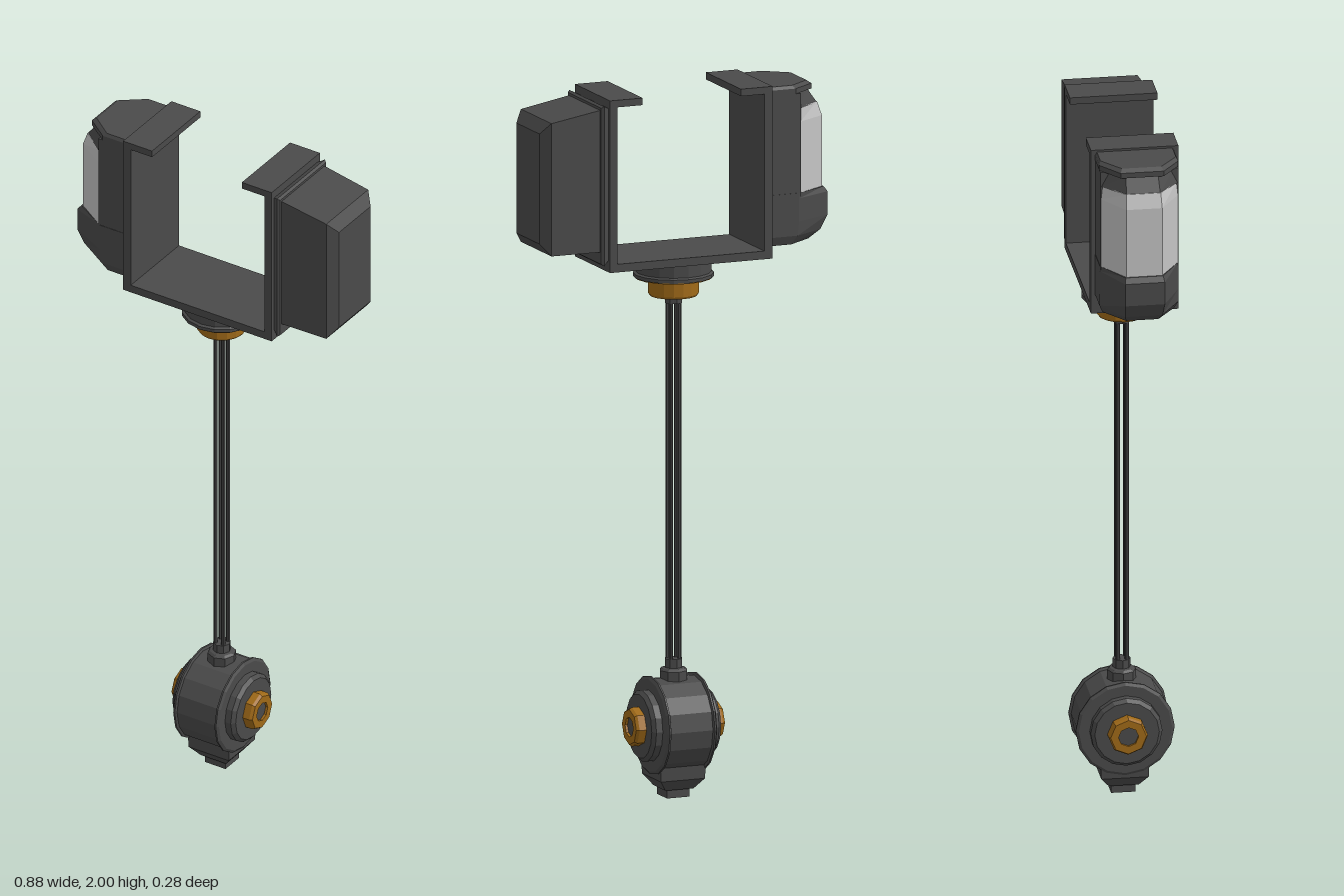
import * as THREE from 'three';

const mat = (name, color) => {
  const m = new THREE.MeshStandardMaterial({ color });
  m.name = name;
  return m;
};

// Faceted normals for every geometry
function faceted(geo) {
  const g = geo.index ? geo.toNonIndexed() : geo;
  g.computeVertexNormals();
  return g;
}

// Closed loft through rings of equal point count (counter-clockwise seen from the end of the loft)
function loft(rings) {
  const n = rings[0].length, pos = rings.flat(2), idx = [];
  for (let r = 0; r < rings.length - 1; r++) {
    for (let i = 0; i < n; i++) {
      const a = r * n + i, b = r * n + (i + 1) % n;
      idx.push(a, b, b + n, a, b + n, a + n);
    }
  }
  const last = (rings.length - 1) * n;
  for (let i = 1; i < n - 1; i++) idx.push(0, i + 1, i, last, last + i, last + i + 1);
  const g = new THREE.BufferGeometry();
  g.setAttribute('position', new THREE.Float32BufferAttribute(pos, 3));
  g.setIndex(idx);
  return faceted(g);
}

// Cross-sections: snub-nosed plan at height y, rectangle at x, square at height y
const nose = (y, x, z, sx = -0.33, sz = 0.11) => [
  [-0.24, y, -sz], [sx, y, -sz], [x, y, -z], [x, y, z], [sx, y, sz], [-0.24, y, sz]];
const rectX = (x, y0, y1, z) => [[x, y0, -z], [x, y1, -z], [x, y1, z], [x, y0, z]];
const square = (y, s) => [[s, y, -s], [-s, y, -s], [-s, y, s], [s, y, s]];

const lathe = (pts, sides) =>
  faceted(new THREE.LatheGeometry(pts.map(p => new THREE.Vector2(...p)), sides));

export function createModel() {
  const root = new THREE.Group();
  root.name = 'clampStand';
  const dark = mat('dark grey', 0x4a4a4a);
  const brass = mat('brass', 0xa06a18);
  const glass = mat('pale lens', 0xc4c4c4);

  const add = (name, geo, material, parent = root) => {
    const m = new THREE.Mesh(geo, material);
    m.name = name;
    parent.add(m);
    return m;
  };
  const box = (name, x0, x1, y0, y1, z) => add(name,
    new THREE.BoxGeometry(x1 - x0, y1 - y0, 2 * z)
      .translate((x0 + x1) / 2, (y0 + y1) / 2, 0), dark);

  // U-shaped bracket with inward lips
  box('bracketFloor', -0.245, 0.243, 1.515, 1.538, 0.122);
  box('bracketRightWall', -0.245, -0.22, 1.538, 2, 0.122);
  box('bracketLeftWall', 0.22, 0.243, 1.538, 2, 0.122);
  box('bracketRightLip', -0.22, -0.15, 1.98, 2, 0.122);
  box('bracketLeftLip', 0.145, 0.22, 1.98, 2, 0.122);

  // Side pack on a flared backing plate
  add('packPlate', loft([
    rectX(0.24, 1.55, 1.975, 0.108), rectX(0.26, 1.535, 1.985, 0.121),
    rectX(0.267, 1.54, 1.98, 0.116)]), dark);
  add('sidePack', loft([
    rectX(0.26, 1.573, 1.974, 0.109), rectX(0.412, 1.573, 1.947, 0.106),
    rectX(0.437, 1.605, 1.915, 0.08)]), dark);

  // Lamp: lower shell, back body, brow, hood and lens
  add('lampLowerShell', loft([
    nose(1.545, -0.385, 0.045, -0.31, 0.1), nose(1.57, -0.418, 0.052, -0.325),
    nose(1.61, -0.439, 0.055), nose(1.675, -0.439, 0.055),
    nose(1.69, -0.428, 0.052)]), dark);
  box('lampBack', -0.335, -0.24, 1.68, 1.97, 0.109);
  add('lampBrow', loft([
    nose(1.927, -0.41, 0.047, -0.335, 0.106), nose(1.97, -0.38, 0.045, -0.315, 0.1)]), dark);
  add('lampHood', loft([
    nose(1.97, -0.388, 0.06, -0.32), nose(1.985, -0.388, 0.06, -0.32),
    nose(1.994, -0.375, 0.055, -0.31, 0.105)]), dark);
  add('lampLens', loft([
    nose(1.68, -0.424, 0.05, -0.335, 0.107), nose(1.89, -0.424, 0.05, -0.335, 0.107),
    nose(1.93, -0.41, 0.048, -0.333, 0.104)]), glass);

  // Swivel mount under the bracket, brass on its underside
  add('mountDisc', lathe([[0, 1.464], [0.112, 1.464], [0.112, 1.474], [0.105, 1.478],
    [0.105, 1.515], [0, 1.515]], 16), dark);
  add('mountBrassRing', lathe([[0, 1.41], [0.066, 1.41], [0.07, 1.416], [0.07, 1.46],
    [0.108, 1.461], [0.108, 1.464], [0, 1.464]], 16), brass);
  add('rodTopNut', lathe([[0, 1.388], [0.025, 1.388], [0.025, 1.41], [0, 1.41]], 8), dark);

  // Stem of four slim parallel rods, and its bottom collar
  for (const x of [-0.0125, 0.0125]) {
    for (const z of [-0.0125, 0.0125]) {
      add('stemRod', faceted(new THREE.CylinderGeometry(0.006, 0.006, 1.04, 8).translate(x, 0.88, z)), dark);
    }
  }
  add('stemCollar', lathe([[0, 0.32], [0.04, 0.32], [0.04, 0.354], [0.034, 0.36],
    [0.025, 0.362], [0.025, 0.387], [0, 0.387]], 8), dark);

  // Drum lying along x, with stepped caps and brass knobs
  const drum = new THREE.Group();
  drum.name = 'drum';
  drum.position.y = 0.203;
  drum.rotation.z = -Math.PI / 2;
  root.add(drum);
  add('drumBody', lathe([[0, -0.075], [0.13, -0.075], [0.138, -0.07], [0.138, -0.065],
    [0.131, -0.062], [0.131, 0.062], [0.138, 0.065], [0.138, 0.07], [0.13, 0.075],
    [0, 0.075]], 16), dark, drum);
  for (const s of [1, -1]) {
    const end = new THREE.Group();
    end.name = s > 0 ? 'drumLeftEnd' : 'drumRightEnd';
    end.rotation.x = s > 0 ? 0 : Math.PI;
    drum.add(end);
    add('drumCap', lathe([[0.1, 0.07], [0.1, 0.094], [0.09, 0.104], [0, 0.104]], 16), dark, end);
    add('knob', lathe([[0.055, 0.1], [0.055, 0.125], [0.05, 0.133], [0.028, 0.133], [0.028, 0.12]], 8), brass, end);
    add('knobCentre', lathe([[0.028, 0.12], [0.028, 0.126], [0, 0.126]], 8), dark, end);
  }

  // Tapered square foot
  add('foot', loft([square(0, 0.034), square(0.024, 0.034), square(0.024, 0.042),
    square(0.055, 0.066), square(0.1, 0.068)]), dark);

  return root;
}
